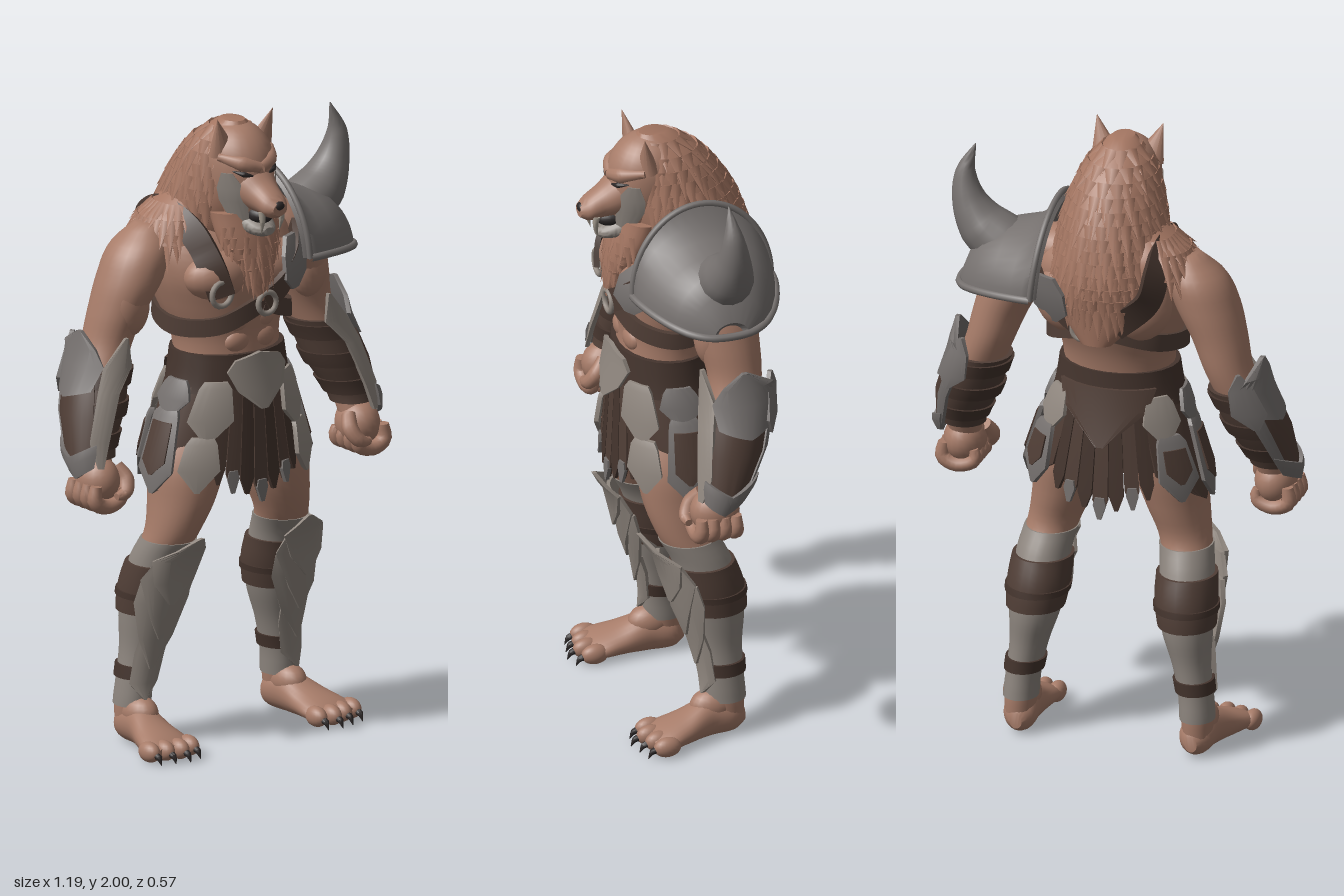
import * as THREE from 'three';
import { toCreasedNormals, mergeGeometries } from 'three/addons/utils/BufferGeometryUtils.js';

const M = {};
for (const [name, color] of Object.entries({ skin: 0xa77c69, fur: 0xa47662, steel: 0x76716f, paleSteel: 0x918880,
  leather: 0x503e36, darkLeather: 0x44342d, greyFur: 0x8d857e, dark: 0x2c2727, bone: 0xa39a8e }))
  M[name] = new THREE.MeshStandardMaterial({ name, color });

const PI = Math.PI, V = (x, y, z) => new THREE.Vector3(x, y, z);

// Adds a mesh; side -1 reflects it to the other half of the body
function add(parent, name, geo, mat, side = 1) {
  let g = geo.index ? geo.toNonIndexed() : geo;
  if (side < 0) {
    g = g.clone().scale(-1, 1, 1);
    for (const k of ['position', 'normal']) {
      const a = g.attributes[k];
      for (let i = 0; i < a.count; i += 3) {
        const p = V().fromBufferAttribute(a, i + 1), q = V().fromBufferAttribute(a, i + 2);
        a.setXYZ(i + 1, q.x, q.y, q.z); a.setXYZ(i + 2, p.x, p.y, p.z);
      }
    }
  }
  const m = new THREE.Mesh(g, mat);
  m.name = name;
  parent.add(m);
}

// Closed skin over equal rings of points, capped at both ends, always facing outwards
function loft(rings, crease = 0.8) {
  const N = rings[0].length, L = rings.length - 1, P = rings.flat(), idx = [];
  const quad = (a, b, c, d) => idx.push(a, b, c, a, c, d);
  for (let i = 0; i < L; i++) for (let j = 0; j < N; j++) {
    const k = (j + 1) % N;
    quad(i * N + j, i * N + N + j, i * N + N + k, i * N + k);
  }
  for (let j = 0; j < N / 2 - 1; j++) {
    quad(j, j + 1, N - 2 - j, N - 1 - j);
    quad(L * N + j, L * N + N - 1 - j, L * N + N - 2 - j, L * N + j + 1);
  }
  let vol = 0;
  for (let i = 0; i < idx.length; i += 3) vol += P[idx[i]].dot(V().crossVectors(P[idx[i + 1]], P[idx[i + 2]]));
  if (vol < 0) idx.reverse();
  const g = new THREE.BufferGeometry().setFromPoints(P);
  g.setIndex(idx);
  return toCreasedNormals(g, crease);
}

// Body sections are [y, centreX, centreZ, radiusX, radiusZ], listed upwards
function at(S, y) {
  const n = S.length - 1;
  let i = 0;
  while (i < n - 1 && y > S[i + 1][0]) i++;
  const h = S[i + 1][0] - S[i][0], t = THREE.MathUtils.clamp((y - S[i][0]) / h, 0, 1);
  const slope = (k, c) => { const a = S[Math.max(k - 1, 0)], b = S[Math.min(k + 1, n)]; return (b[c] - a[c]) / (b[0] - a[0]); };
  return [0, 1, 2, 3, 4].map(c => {
    const a = S[i][c], b = S[i + 1][c];
    return a + (b - a) * t * t * (3 - 2 * t) + h * t * (1 - t) * ((1 - t) * slope(i, c) - t * slope(i + 1, c));
  });
}
function on(S, a, y, off = 0) {
  const [, x, z, rx, rz] = at(S, y);
  return V(x + Math.cos(a) * (rx + off), y, z + Math.sin(a) * (rz + off));
}
function sleeve(S, y0 = S[0][0], y1 = S[S.length - 1][0], off = 0, steps = 24) {
  return loft(Array.from({ length: steps + 1 }, (_, i) =>
    Array.from({ length: 24 }, (_, j) => on(S, j / 12 * PI, y0 + (y1 - y0) * i / steps, off))));
}
// Armour plate hugging a body part: rows are [y, angle, halfAngle, offset, dip in the middle]
function wrap(S, rows, t = 0.014, n = 10) {
  return loft(rows.map(([y, a, h, off = 0.015, dip = 0]) => {
    const side = o => Array.from({ length: n + 1 }, (_, i) => {
      const u = i / n * 2 - 1;
      return on(S, a + u * h, y - dip * (1 - Math.abs(u)), o);
    });
    return [...side(off), ...side(off - t).reverse()];
  }), 0.5);
}
// Round horn or finger along a path
function horn(pts, radii, steps = 14, sides = 12) {
  const c = new THREE.CatmullRomCurve3(pts.map(p => V(...p))), f = c.computeFrenetFrames(steps);
  return loft(Array.from({ length: steps + 1 }, (_, i) => {
    const q = i / steps * (radii.length - 1), k = Math.min(Math.floor(q), radii.length - 2);
    const r = THREE.MathUtils.lerp(radii[k], radii[k + 1], q - k), p = c.getPoint(i / steps);
    return Array.from({ length: sides }, (_, j) => p.clone()
      .addScaledVector(f.normals[i], r * Math.cos(j / sides * 2 * PI)).addScaledVector(f.binormals[i], r * Math.sin(j / sides * 2 * PI)));
  }));
}
// Flat belt laid over a body part through [angle, y] points
function strap(S, pts, w = 0.03, off = 0.02) {
  const c = new THREE.CatmullRomCurve3(pts.map(([a, y]) => on(S, a, y, off))), n = pts.length * 6;
  return loft(Array.from({ length: n + 1 }, (_, i) => {
    const p = c.getPoint(i / n), o = V(p.x, p.y > 1.6 ? (p.y - 1.6) * 2 : 0, p.z + 0.03).normalize();
    const s = c.getTangent(i / n).cross(o).normalize();
    return [[1, 1], [-1, 1], [-1, -1], [1, -1]].map(([u, v]) => p.clone().addScaledVector(s, u * w).addScaledVector(o, v * 0.009));
  }), 0.5);
}
const blob = (x, y, z, rx, ry, rz) => new THREE.SphereGeometry(1, 20, 14).scale(rx, ry, rz).translate(x, y, z);
const hoop = (p, r) => new THREE.TorusGeometry(r, 0.009, 8, 20).translate(p.x, p.y, p.z);
// Pointed lock of hair following the slope of a body part, lifted by flare
function tuft(S, a, y, len, r, flare) {
  const p = on(S, a, y, -0.006), out = V(Math.cos(a), 0, Math.sin(a)), t = V(-Math.sin(a), 0, Math.cos(a));
  const d = on(S, a, y - 0.04).sub(on(S, a, y)).normalize().addScaledVector(out, flare);
  d.addScaledVector(t, -d.dot(t)).normalize();
  const m = new THREE.Matrix4().makeBasis(t, d, V().crossVectors(t, d)).setPosition(p);
  return new THREE.ConeGeometry(r, len, 6).scale(1, 1, 0.4).translate(0, len * 0.4, 0).applyMatrix4(m);
}

const torso = [[0.92, 0, 0, 0.14, 0.11], [1.05, 0, 0, 0.18, 0.135], [1.2, 0, 0.01, 0.175, 0.14], [1.3, 0, 0, 0.18, 0.146],
  [1.4, 0, -0.015, 0.22, 0.17], [1.5, 0, -0.03, 0.25, 0.192], [1.6, 0, -0.06, 0.25, 0.173], [1.68, 0, -0.07, 0.17, 0.13], [1.76, 0, -0.04, 0.1, 0.1]];
const arm = [[0.92, 0.5, 0.01, 0.05, 0.05], [1, 0.495, -0.02, 0.058, 0.055], [1.1, 0.46, -0.05, 0.075, 0.075], [1.2, 0.425, -0.075, 0.075, 0.08],
  [1.3, 0.385, -0.09, 0.076, 0.085], [1.4, 0.352, -0.08, 0.086, 0.098], [1.5, 0.31, -0.07, 0.1, 0.11], [1.59, 0.273, -0.07, 0.093, 0.098], [1.66, 0.24, -0.07, 0.043, 0.043]];
const leg = [[0.05, 0.288, -0.1, 0.045, 0.05], [0.12, 0.285, -0.095, 0.05, 0.06], [0.2, 0.278, -0.09, 0.049, 0.06], [0.3, 0.262, -0.085, 0.055, 0.065],
  [0.4, 0.247, -0.078, 0.073, 0.083], [0.5, 0.238, -0.062, 0.083, 0.091], [0.6, 0.23, -0.03, 0.079, 0.087], [0.68, 0.212, 0.01, 0.081, 0.09],
  [0.78, 0.184, 0.02, 0.097, 0.114], [0.9, 0.158, 0.015, 0.113, 0.13], [1.04, 0.12, 0, 0.1, 0.12]];
const skirt = [[0.75, 0, 0, 0.3, 0.19], [0.9, 0, 0, 0.28, 0.184], [1.05, 0, 0, 0.235, 0.172], [1.15, 0, 0.01, 0.2, 0.156], [1.27, 0, 0.01, 0.18, 0.145]];
const mane = [[1.38, 0, -0.22, 0.05, 0.03], [1.48, 0, -0.16, 0.15, 0.1], [1.58, 0, -0.1, 0.185, 0.17], [1.7, 0, -0.055, 0.17, 0.185],
  [1.8, 0, -0.025, 0.145, 0.165], [1.9, 0, 0.01, 0.105, 0.12], [1.97, 0, 0.04, 0.035, 0.045]];
const mantle = [[1.6, -0.15, -0.07, 0.14, 0.14], [1.67, -0.135, -0.07, 0.115, 0.12], [1.74, -0.1, -0.06, 0.05, 0.07]];
const beard = [[1.42, 0, 0.185, 0.008, 0.008], [1.5, 0, 0.165, 0.052, 0.035], [1.6, 0, 0.125, 0.105, 0.063], [1.7, 0, 0.09, 0.12, 0.073]];
const skull = [[1.64, 0, 0.11, 0.06, 0.06], [1.74, 0, 0.08, 0.098, 0.105], [1.83, 0, 0.06, 0.112, 0.128], [1.9, 0, 0.055, 0.1, 0.112], [1.95, 0, 0.05, 0.06, 0.07], [1.968, 0, 0.05, 0.015, 0.02]];

export function createModel() {
  const root = new THREE.Group();
  root.name = 'wolfWarrior';
  const part = name => { const g = new THREE.Group(); g.name = name; root.add(g); return g; };
  let seed = 7;
  const rnd = () => (seed = (seed * 16807) % 2147483647) / 2147483647;

  // Torso and its muscles
  const body = part('body');
  add(body, 'torso', sleeve(torso, undefined, undefined, 0, 40), M.skin);
  for (const s of [1, -1]) {
    add(body, 'chestMuscle', blob(0.098, 1.5, 0.09, 0.118, 0.08, 0.088), M.skin, s);
    add(body, 'shoulderBlade', blob(0.11, 1.5, -0.15, 0.11, 0.12, 0.08), M.skin, s);
    for (const y of [1.285, 1.35]) add(body, 'abdominal', blob(0.045, y, 0.12, 0.05, 0.04, 0.03), M.skin, s);
    add(body, 'neckMuscle', blob(0.15, 1.62, -0.07, 0.13, 0.075, 0.09), M.skin, s);
  }

  // Harness
  const harness = part('harness');
  add(harness, 'chestBelt', strap(torso, [[1.5, 1.41], [0.9, 1.36], [0.2, 1.34], [-0.7, 1.37], [-1.57, 1.42], [-2.4, 1.37], [-3.3, 1.34], [-4.1, 1.35], [-4.78, 1.41]], 0.027), M.leather);
  add(harness, 'shoulderStrap', strap(torso, [[2.1, 1.45], [2.15, 1.54], [2.3, 1.63], [2.8, 1.68], [3.5, 1.68], [3.9, 1.63], [4.1, 1.54], [4.5, 1.44]], 0.042, 0.032), M.darkLeather);
  for (const f of [1, -1]) {
    add(harness, 'pauldronStrap', strap(torso, [[f * 1.5, 1.41], [f * 1.2, 1.46], [f * 0.9, 1.53], [f * 0.7, 1.6]], 0.036, 0.026), M.leather);
    add(harness, 'chestPlate', wrap(torso, [[1.43, f, 0.08, 0.045], [1.47, f, 0.26, 0.047], [1.54, f * 0.95, 0.3, 0.047], [1.59, f * 0.9, 0.22, 0.047]]), M.steel);
  }
  for (const [a, y, r] of [[1.5, 1.41, 0.034], [2.1, 1.46, 0.038], [-1.4, 1.42, 0.032]])
    add(harness, 'harnessRing', hoop(on(torso, a, y, 0.035), r), M.paleSteel);

  // Belt, leather strips and hip plates
  const kilt = part('kilt');
  add(kilt, 'belt', sleeve(skirt, 1.13, 1.25, 0.006, 6), M.darkLeather);
  add(kilt, 'buckle', wrap(skirt, [[1.08, PI / 2, 0.05, 0.035], [1.14, PI / 2, 0.38, 0.03], [1.2, PI / 2, 0.55, 0.025], [1.235, PI / 2, 0.42, 0.025, -0.02]]), M.paleSteel);
  add(kilt, 'backFlap', wrap(skirt, [[1.02, -PI / 2, 0.05, 0.02], [1.13, -PI / 2, 0.65, 0.018], [1.2, -PI / 2, 0.85, 0.016]]), M.leather);
  add(kilt, 'underKilt', sleeve(skirt, 0.93, 1.15, -0.02, 6), M.darkLeather);
  for (const f of [1, -1]) for (let k = -3; k <= 3; k++) {
    const a = f * PI / 2 + k * 0.18, b = 0.79 + Math.abs(k) * 0.02;
    add(kilt, 'leatherStrip', wrap(skirt, [[b, a, 0.02, 0], [b + 0.05, a, 0.085, 0], [1.14, a, 0.085, 0.005]], 0.012, 4), k % 2 ? M.darkLeather : M.leather);
    if (k % 2 === 0) add(kilt, 'stripTip', wrap(skirt, [[b - 0.01, a, 0.02, 0.006], [b + 0.035, a, 0.07, 0.006], [b + 0.06, a, 0.05, 0.006]], 0.012, 4), M.steel);
  }
  for (const s of [1, -1]) {
    add(kilt, 'sidePanel', wrap(skirt, [[0.84, 0, 0.3, -0.01, 0.03], [0.92, 0, 0.9, -0.005], [1.15, 0, 1, 0.005]]), M.leather, s);
    for (const [a, b, t, h, mat, inset] of [[0.1, 0.82, 1.08, 0.34, 'steel', 1], [0.78, 0.83, 1.0, 0.26, 'paleSteel'], [-0.62, 0.84, 1.05, 0.28, 'steel', 1],
      [0.85, 0.98, 1.17, 0.32, 'paleSteel'], [0.1, 1.04, 1.17, 0.38, 'steel'], [-0.7, 1.02, 1.17, 0.3, 'paleSteel']]) {
      add(kilt, 'hipPlate', wrap(skirt, [[b, a, 0.03, 0.012], [b + 0.07, a, h, 0.022], [t - 0.02, a, h * 0.8, 0.02], [t, a, h * 0.6, 0.014]]), M[mat], s);
      if (inset) add(kilt, 'hipInset', wrap(skirt, [[b + 0.06, a, 0.03, 0.024], [b + 0.1, a, h * 0.65, 0.026], [t - 0.04, a, h * 0.6, 0.024]], 0.008), M.leather, s);
    }
  }

  for (const s of [1, -1]) {
    // Arm and fist
    const A = part(s > 0 ? 'leftArm' : 'rightArm');
    add(A, 'arm', sleeve(arm, undefined, undefined, 0, 36), M.skin, s);
    add(A, 'biceps', blob(0.345, 1.42, -0.025, 0.065, 0.1, 0.05), M.skin, s);
    add(A, 'palm', blob(0.503, 0.9, 0.015, 0.066, 0.075, 0.078), M.skin, s);
    for (let k = 0; k < 4; k++) {
      const z = 0.076 - k * 0.037;
      add(A, 'finger', horn([[0.555, 0.9, z], [0.558, 0.85, z], [0.51, 0.828, z], [0.455, 0.85, z], [0.46, 0.885, z]], [0.018, 0.025, 0.024, 0.022, 0.015]), M.skin, s);
    }
    add(A, 'thumb', horn([[0.45, 0.94, 0.04], [0.435, 0.9, 0.07], [0.455, 0.865, 0.092], [0.49, 0.86, 0.094]], [0.022, 0.026, 0.022, 0.012]), M.skin, s);
    // Bracer
    add(A, 'bracer', sleeve(arm, 0.97, 1.24, 0.014), M.leather, s);
    for (const y of [1.0, 1.09, 1.18]) add(A, 'bracerStrap', sleeve(arm, y, y + 0.045, 0.023, 4), M.darkLeather, s);
    add(A, 'outerGuard', wrap(arm, [[0.97, 0, 0.75, 0.032], [1.1, 0, 0.85, 0.036], [1.2, -0.1, 0.85, 0.036]]), M.leather, s);
    add(A, 'guardEdge', wrap(arm, [[0.98, -0.85, 0.18, 0.036], [1.1, -0.95, 0.18, 0.041], [1.2, -1.0, 0.22, 0.042]]), M.steel, s);
    add(A, 'elbowPlate', wrap(arm, [[1.18, -0.2, 0.9, 0.043, 0.03], [1.25, -0.2, 1.1, 0.045], [1.3, -0.1, 0.7, 0.05], [1.35, 0, 0.06, 0.05]]), M.steel, s);
    add(A, 'elbowPoint', wrap(arm, [[1.14, -1.1, 0.08, 0.05], [1.19, -1.1, 0.45, 0.055], [1.27, -1, 0.35, 0.045], [1.32, -0.9, 0.05, 0.04]]), M.steel, s);
    add(A, 'wristPlate', wrap(arm, [[0.955, 0, 0.9, 0.036, 0.04], [1.0, 0, 1.05, 0.044, 0.045], [1.025, 0, 1.05, 0.042, 0.045]]), M.steel, s);
    add(A, 'frontPlate', wrap(arm, [[0.95, 1.15, 0.12, 0.03], [1.03, 1.15, 0.32, 0.038], [1.17, 1.2, 0.32, 0.038], [1.24, 1.4, 0.5, 0.03], [1.33, 1.4, 0.05, 0.025]]), M.paleSteel, s);

    // Leg with wraps and layered greave
    const L = part(s > 0 ? 'leftLeg' : 'rightLeg');
    add(L, 'leg', sleeve(leg, undefined, undefined, 0, 40), M.skin, s);
    add(L, 'shinWrap', sleeve(leg, 0.12, 0.66, 0.005), M.greyFur, s);
    add(L, 'calfBand', sleeve(leg, 0.42, 0.58, 0.015, 8), M.leather, s);
    add(L, 'calfStrap', sleeve(leg, 0.47, 0.49, 0.02, 2), M.darkLeather, s);
    add(L, 'ankleStrap', sleeve(leg, 0.21, 0.25, 0.013, 3), M.darkLeather, s);
    const f = 1.4;
    add(L, 'anklePlate', wrap(leg, [[0.15, f, 0.05, 0.022], [0.2, f, 0.8, 0.018], [0.3, f, 0.75, 0.022], [0.36, f, 0.6, 0.022]]), M.paleSteel, s);
    add(L, 'shinPlate', wrap(leg, [[0.25, f, 0.06, 0.03], [0.35, f, 0.65, 0.033], [0.47, f, 0.9, 0.04], [0.54, f, 0.85, 0.036]]), M.paleSteel, s);
    add(L, 'shinRidge', wrap(leg, [[0.35, f, 0.05, 0.042], [0.43, f, 0.45, 0.05], [0.55, f, 0.85, 0.046], [0.61, f, 0.65, 0.045]]), M.paleSteel, s);
    add(L, 'kneePlate', wrap(leg, [[0.47, f, 0.06, 0.06], [0.54, f, 0.5, 0.06], [0.615, f, 0.72, 0.055], [0.65, f + 0.1, 0.4, 0.058], [0.69, f + 0.17, 0.05, 0.06]]), M.paleSteel, s);

    // Foot, toes and claws
    const foot = [[-0.155, 0.283, -0.05, 0.02, 0.025], [-0.12, 0.284, -0.06, 0.05, 0.055], [-0.04, 0.29, -0.065, 0.055, 0.064],
      [0.05, 0.305, -0.048, 0.075, 0.047], [0.12, 0.315, -0.036, 0.088, 0.034], [0.16, 0.318, -0.03, 0.07, 0.02]];
    add(L, 'foot', sleeve(foot).rotateX(PI / 2), M.skin, s);
    add(L, 'instep', blob(0.287, 0.1, -0.055, 0.05, 0.055, 0.075), M.skin, s);
    for (let k = 0; k < 4; k++) {
      const x = 0.248 + k * 0.047, z = 0.152 - Math.abs(k - 1) * 0.012;
      add(L, 'toe', blob(x, 0.034, z, 0.027, 0.032, 0.044), M.skin, s);
      add(L, 'toeClaw', horn([[x, 0.03, z + 0.028], [x, 0.026, z + 0.048], [x, 0.004, z + 0.062]], [0.012, 0.01, 0.001], 6, 8), M.dark, s);
    }
  }

  // Pauldron: arched shell narrowing outwards, with a rim and a curved spike
  const P = part('pauldron');
  const shell = [[0.175, 0.27, 0.225], [0.205, 0.215, 0.223], [0.25, 0.185, 0.213], [0.32, 0.175, 0.19], [0.39, 0.16, 0.155], [0.44, 0.12, 0.115], [0.475, 0.04, 0.055]];
  const arch = ([x, ry, rz], o) => Array.from({ length: 21 }, (_, i) => {
    const up = Math.sin(i / 20 * PI);
    return V(x + o + 0.1 * rz * (1 - up), 1.48 + 0.7 * rz * rz + (ry + o) * up, -0.05 + (rz + o) * Math.cos(i / 20 * PI));
  });
  const layer = (rows, o) => loft(rows.map(r => [...arch(r, o), ...arch(r, o - 0.016).reverse()]), 1);
  add(P, 'shoulderShell', layer(shell, 0), M.steel);
  const rim = (pts, r) => new THREE.TubeGeometry(new THREE.CatmullRomCurve3(pts), 40, r, 8);
  add(P, 'collarRim', rim(arch(shell[0], 0), 0.01), M.steel);
  const front = shell.map(r => arch(r, 0)[0]), back = shell.map(r => arch(r, 0)[20]);
  add(P, 'lowerRim', rim([...front, ...back.reverse()], 0.012), M.steel);
  add(P, 'spike', horn([[0.35, 1.6, -0.06], [0.42, 1.655, -0.06], [0.466, 1.735, -0.06], [0.478, 1.82, -0.055], [0.448, 1.915, -0.05]], [0.092, 0.08, 0.053, 0.032, 0.002], 24, 16), M.steel);

  // Head
  const H = part('head');
  add(H, 'skull', sleeve(skull), M.skin);
  const along = S => sleeve(S.map(([z, y, rx, ry]) => [z, 0, -y, rx, ry])).rotateX(PI / 2);
  add(H, 'muzzle', along([[0.08, 1.79, 0.085, 0.085], [0.16, 1.778, 0.07, 0.072], [0.21, 1.755, 0.053, 0.052], [0.255, 1.737, 0.044, 0.038], [0.28, 1.732, 0.026, 0.02]]), M.skin);
  add(H, 'lowerJaw', along([[0.08, 1.69, 0.08, 0.05], [0.16, 1.665, 0.058, 0.036], [0.205, 1.652, 0.04, 0.022], [0.225, 1.65, 0.02, 0.012]]), M.greyFur);
  add(H, 'mouth', blob(0, 1.695, 0.17, 0.04, 0.03, 0.055), M.dark);
  add(H, 'nose', blob(0, 1.742, 0.27, 0.022, 0.016, 0.015), M.dark);
  for (const s of [1, -1]) {
    add(H, 'cheek', wrap(skull, [[1.67, 0.75, 0.35, 0.006], [1.74, 0.65, 0.45, 0.004], [1.78, 0.65, 0.4, 0.004], [1.83, 0.6, 0.15, 0.003]], 0.009), M.greyFur, s);
    add(H, 'brow', horn([[0, 1.842, 0.176], [0.05, 1.858, 0.157], [0.1, 1.876, 0.098]], [0.02, 0.025, 0.012]), M.skin, s);
    add(H, 'eye', horn([[0.03, 1.822, 0.183], [0.055, 1.828, 0.172], [0.082, 1.838, 0.147]], [0.003, 0.009, 0.002], 8, 8), M.dark, s);
    add(H, 'fang', horn([[0.036, 1.72, 0.235], [0.037, 1.69, 0.238], [0.034, 1.65, 0.23]], [0.012, 0.009, 0.001], 6, 8), M.bone, s);
    add(H, 'ear', new THREE.ConeGeometry(0.046, 0.12, 12).scale(1, 1, 0.65).rotateZ(-0.3).rotateX(0.2).translate(0.09, 1.942, 0.092), M.skin, s);
  }

  // Mane, shoulder mantle and beard with overlapping locks
  add(H, 'mane', sleeve(mane), M.fur);
  add(H, 'shoulderMantle', sleeve(mantle), M.fur);
  add(H, 'beard', sleeve(beard), M.fur);
  const locks = [];
  for (let r = 0; r < 13; r++) {
    const y = 1.94 - r * 0.037, open = y > 1.66 ? 0.85 : 1.0, n = 9 + Math.min(r, 8) * 2;
    for (let k = 0; k <= n; k++) {
      const a = PI / 2 + open + (2 * PI - 2 * open) * (k + (r % 2) / 2 + rnd() * 0.4 - 0.2) / (n + 0.5);
      locks.push(tuft(mane, a, y, 0.075 + rnd() * 0.03, 0.026, 0.06 + rnd() * 0.1));
    }
  }
  for (let r = 0; r < 3; r++) for (let k = 0; k < 11; k++)
    locks.push(tuft(mantle, PI * (0.68 + 0.62 * k / 10), 1.7 - r * 0.04, 0.09 + rnd() * 0.03, 0.022, 0.08 + rnd() * 0.15));
  for (let r = 0; r < 5; r++) for (let k = -3; k <= 3; k++)
    locks.push(tuft(beard, PI / 2 + k * 0.42 + rnd() * 0.2, 1.65 - r * 0.033, 0.08 + rnd() * 0.03, 0.018, 0.08 + rnd() * 0.1));
  add(H, 'hairLocks', mergeGeometries(locks), M.fur);
  return root;
}
